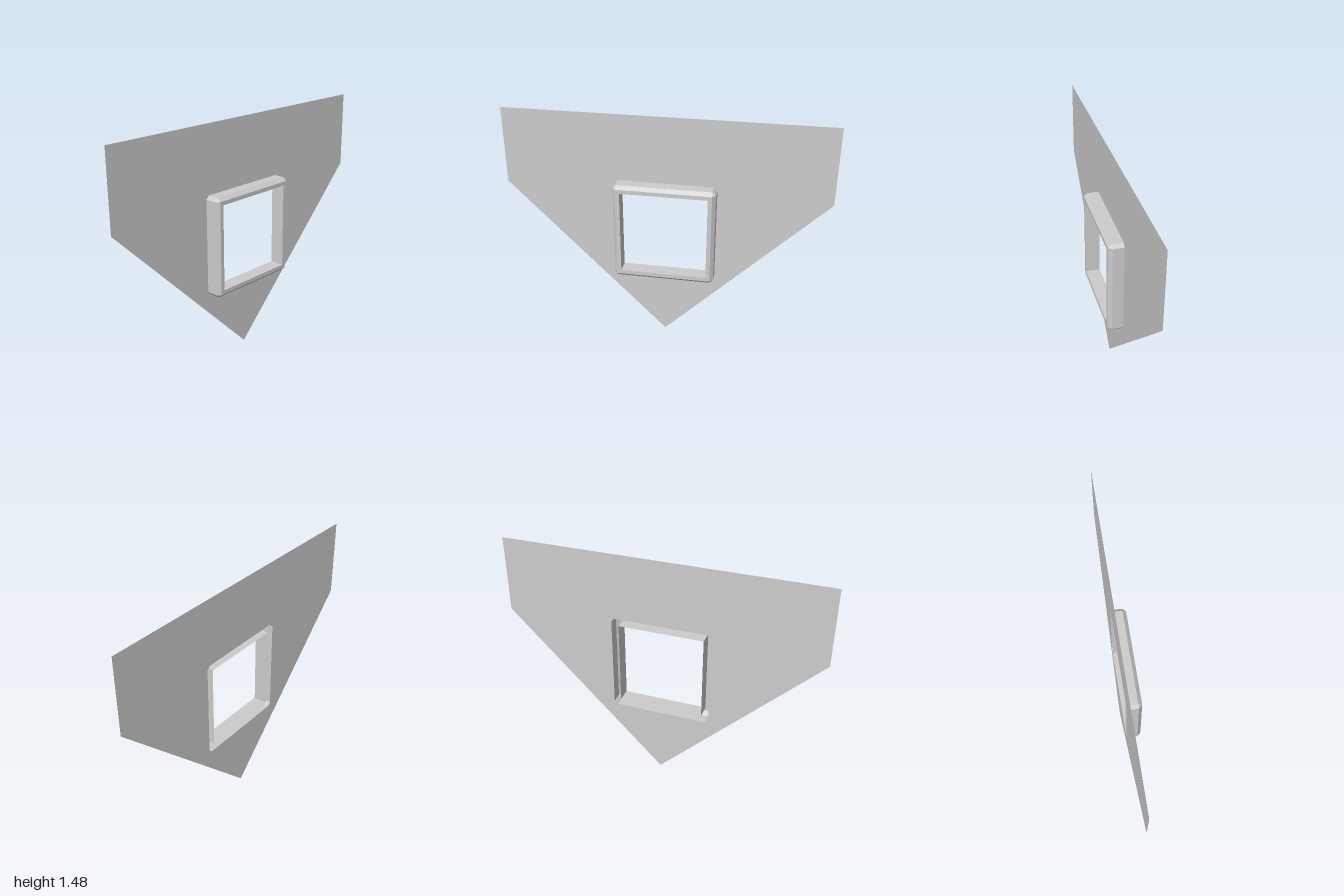
import * as THREE from 'three';

const CENTER_Y = 0.745; // middle of the window
const BACK = -0.046, SHOULDER = 0.024, FRONT = 0.046;
const OUTER = 0.314, BEVEL = 0.293, INNER = 0.268;

// Eight points, two per corner, turning counter-clockwise; a === b gives a square
function loop(a, b, z) {
  const points = [];
  let pair = [[a, b], [b, a]];
  for (let k = 0; k < 4; k++) {
    for (const [x, y] of pair) points.push(new THREE.Vector3(x, y + CENTER_Y, z));
    pair = pair.map(([x, y]) => [-y, x]);
  }
  return points;
}

// Join consecutive loops with flat faces, skipping collapsed triangles
function skin(loops) {
  const position = [];
  const face = (a, b, c) => {
    if (new THREE.Triangle(a, b, c).getArea() > 1e-7) {
      for (const p of [a, b, c]) position.push(p.x, p.y, p.z);
    }
  };
  for (let s = 0; s + 1 < loops.length; s++) {
    const A = loops[s], B = loops[s + 1];
    for (let i = 0; i < A.length; i++) {
      const j = (i + 1) % A.length;
      face(A[i], A[j], B[j]);
      face(A[i], B[j], B[i]);
    }
  }
  const geometry = new THREE.BufferGeometry();
  geometry.setAttribute('position', new THREE.Float32BufferAttribute(position, 3));
  geometry.computeVertexNormals();
  return geometry;
}

export function createModel() {
  const group = new THREE.Group();
  group.name = 'gableWallWithWindow';

  const grey = new THREE.MeshStandardMaterial({ color: 0xcccccc, side: THREE.DoubleSide });
  grey.name = 'plain grey';

  // Thin five-sided wall, cut out to the outline of the window frame
  const outline = new THREE.Shape([[0, 0], [1, 1], [1, 1.48], [-1, 1.48], [-1, 1]]
    .map(([x, y]) => new THREE.Vector2(x, y)));
  outline.holes.push(new THREE.Path(loop(OUTER, BEVEL, 0)
    .map((p) => new THREE.Vector2(p.x, p.y)).reverse()));
  const wall = new THREE.Mesh(new THREE.ShapeGeometry(outline), grey);
  wall.name = 'wall';
  wall.position.z = BACK;
  group.add(wall);

  // Hollow frame, open at the back: outer sides, bevel, front rim, inner sides
  const frame = new THREE.Mesh(skin([
    loop(OUTER, BEVEL, BACK),
    loop(OUTER, BEVEL, SHOULDER),
    loop(BEVEL, BEVEL, FRONT),
    loop(INNER, INNER, FRONT),
    loop(INNER, INNER, BACK),
  ]), grey);
  frame.name = 'windowFrame';
  group.add(frame);

  return group;
}
